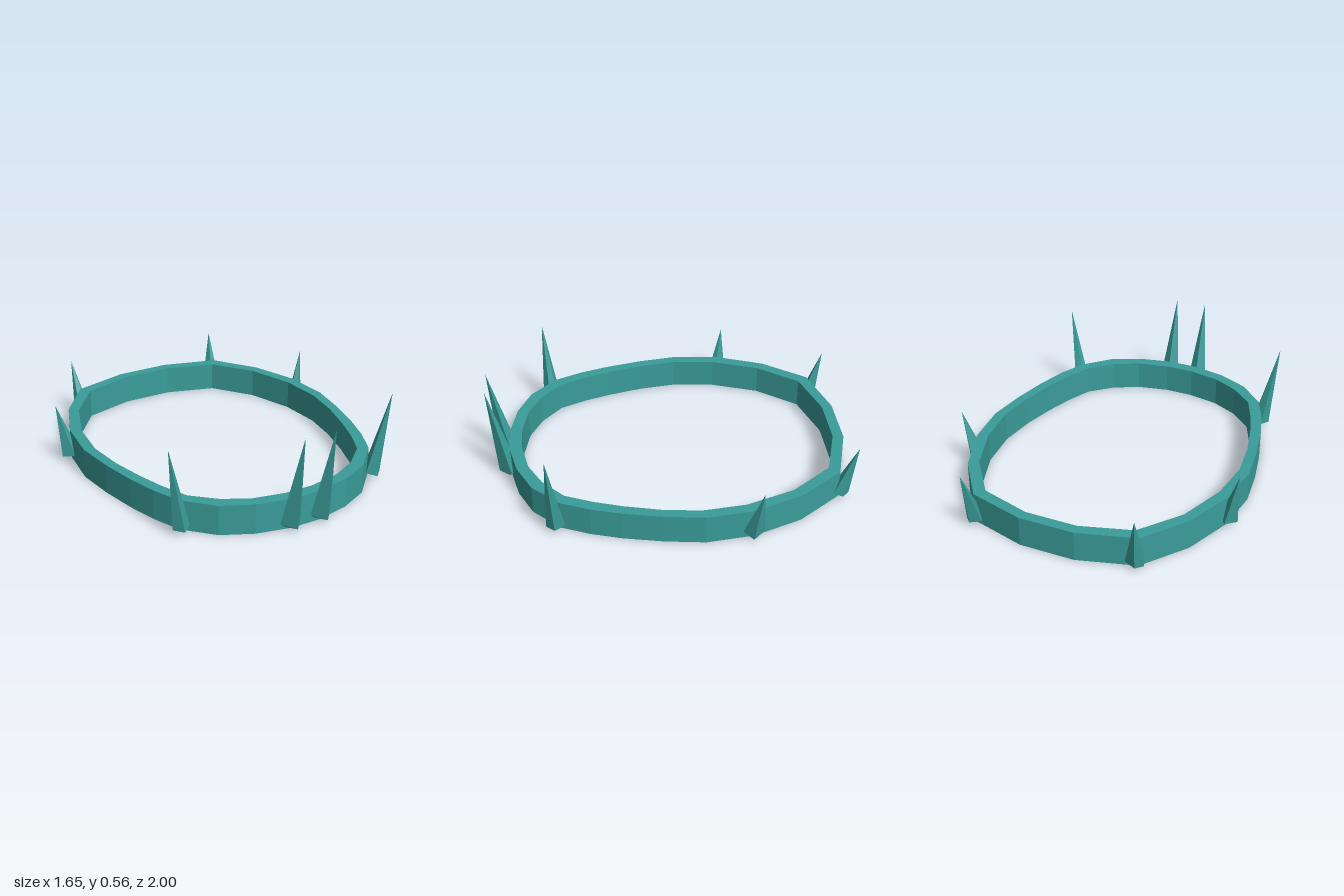
import * as THREE from 'three';
import { ConvexGeometry } from 'three/addons/geometries/ConvexGeometry.js';

// Half outlines of the band as [x, z], from back to front
const OUTER = [[0.156, -1], [0.474, -0.91], [0.653, -0.667], [0.756, -0.397], [0.785, -0.135], [0.755, 0.09],
  [0.71, 0.3], [0.66, 0.466], [0.592, 0.624], [0.447, 0.772], [0.278, 0.852], [0.087, 0.894]];
const INNER = [[0.146, -0.94], [0.431, -0.855], [0.603, -0.63], [0.7, -0.36], [0.725, -0.116], [0.698, 0.095],
  [0.65, 0.29], [0.6, 0.444], [0.533, 0.598], [0.405, 0.714], [0.262, 0.788], [0.082, 0.825]];
const HEIGHT = 0.17;

// Spikes on the +x side: the tip, the corners of the base, and last the corner sunk in the band
const SPIKES = {
  frontSpike: [[0.092, 0.56, 1], [0.092, 0.026, 0.96], [0.03, 0.038, 0.89], [0.154, 0.038, 0.89],
    [0.047, 0.026, 0.905], [0.137, 0.026, 0.905], [0.092, 0.018, 0.9], [0.092, 0.04, 0.85]],
  frontSideSpike: [[0.682, 0.507, 0.687], [0.554, 0.038, 0.662], [0.603, 0.025, 0.703], [0.65, 0.03, 0.658],
    [0.62, 0.038, 0.6], [0.6, 0.018, 0.655], [0.565, 0.04, 0.615]],
  rearSideSpike: [[0.825, 0.33, -0.426], [0.76, 0.035, -0.335], [0.815, 0.023, -0.385], [0.762, 0.035, -0.45],
    [0.76, 0.018, -0.39], [0.715, 0.04, -0.375]],
  backSpike: [[0.487, 0.33, -1], [0.495, 0.035, -0.88], [0.51, 0.022, -0.93], [0.475, 0.025, -0.968],
    [0.412, 0.035, -0.945], [0.46, 0.018, -0.92], [0.44, 0.04, -0.875]],
};

// Mirror a half outline into a closed loop, with z flipped for extrusion
function closedLoop(half) {
  const right = half.map(([x, z]) => new THREE.Vector2(x, -z));
  const left = half.map(([x, z]) => new THREE.Vector2(-x, -z)).reverse();
  return [...right, ...left];
}

export function createModel() {
  const group = new THREE.Group();
  group.name = 'spikedCirclet';
  const teal = new THREE.MeshStandardMaterial({ color: 0x3a9d9a });
  teal.name = 'teal';

  // Faceted oval band; the hole runs against the outline so its wall faces inward
  const shape = new THREE.Shape(closedLoop(OUTER));
  shape.holes.push(new THREE.Path(closedLoop(INNER).reverse()));
  const bandGeometry = new THREE.ExtrudeGeometry(shape, { depth: HEIGHT, bevelEnabled: false });
  bandGeometry.rotateX(-Math.PI / 2);
  const band = new THREE.Mesh(bandGeometry, teal);
  band.name = 'band';
  group.add(band);

  // Four mirrored pairs of faceted spikes
  for (const [name, corners] of Object.entries(SPIKES)) {
    for (const side of [1, -1]) {
      const points = corners.map(([x, y, z]) => new THREE.Vector3(side * x, y, z));
      const spike = new THREE.Mesh(new ConvexGeometry(points), teal);
      spike.name = name + (side > 0 ? 'Left' : 'Right');
      group.add(spike);
    }
  }
  return group;
}
